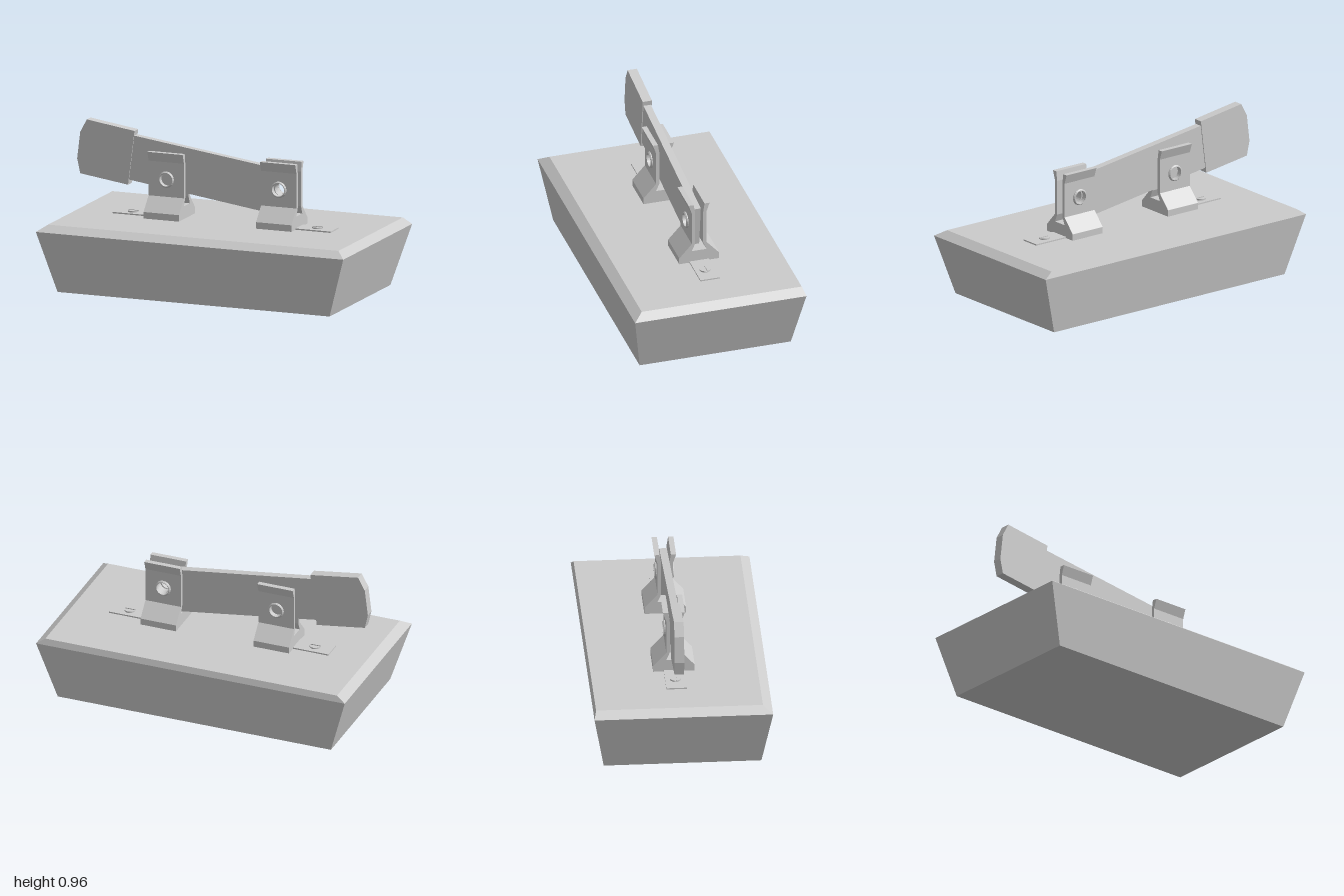
import * as THREE from 'three';

const MID = -0.023; // z of the blade and clip plane
const mat = new THREE.MeshStandardMaterial({ color: 0xcccccc, flatShading: true, side: THREE.DoubleSide });

function add(parent, name, geometry, x = 0, y = 0, z = 0) {
  const mesh = new THREE.Mesh(geometry, mat);
  mesh.name = name;
  mesh.position.set(x, y, z);
  parent.add(mesh);
  return mesh;
}

const shapeOf = (pts) => new THREE.Shape(pts.map(([x, y]) => new THREE.Vector2(x, y)));

function addHole(shape, x, y, r) {
  const hole = new THREE.Path();
  hole.absarc(x, y, r, 0, Math.PI * 2, true);
  shape.holes.push(hole);
  return shape;
}

// Flat plate in the xy plane, centred on its thickness
function plate(shape, depth) {
  return new THREE.ExtrudeGeometry(shape, { depth, bevelEnabled: false, curveSegments: 12 }).translate(0, 0, -depth / 2);
}

// Profile drawn in z and y, extended along x
const alongX = (pts, width) => plate(shapeOf(pts), width).rotateY(Math.PI / 2);

// Tapered block from rectangular sections [y, halfX, zBack, zFront]
function taperedBlock(sections) {
  const pos = [], index = [];
  for (const [y, w, b, f] of sections) pos.push(-w, y, f, w, y, f, w, y, b, -w, y, b);
  for (let s = 0; s < sections.length - 1; s++) {
    for (let i = 0; i < 4; i++) {
      const a = s * 4 + i, c = s * 4 + (i + 1) % 4;
      index.push(a, c, c + 4, a, c + 4, a + 4);
    }
  }
  const t = (sections.length - 1) * 4;
  index.push(0, 2, 1, 0, 3, 2, t, t + 1, t + 2, t, t + 2, t + 3);
  const g = new THREE.BufferGeometry();
  g.setAttribute('position', new THREE.Float32BufferAttribute(pos, 3));
  g.setIndex(index);
  const flat = g.toNonIndexed();
  flat.computeVertexNormals();
  return flat;
}

function createClip(name, x) {
  const clip = new THREE.Group();
  clip.name = name;
  clip.position.set(x, 0, MID);
  const width = 0.23;
  // Foot with a dovetail-shaped channel
  add(clip, 'clipFoot', alongX([
    [-0.125, 0.405], [0.125, 0.405], [0.125, 0.45], [0.046, 0.537], [0.025, 0.537], [0.046, 0.488],
    [-0.046, 0.488], [-0.025, 0.537], [-0.046, 0.537], [-0.125, 0.45],
  ], width));
  for (const s of [1, -1]) {
    // Upright jaw with a round hole
    const h = width / 2;
    const jaw = addHole(shapeOf([[-h, 0.537], [h, 0.537], [h, 0.75], [-h, 0.75]]), 0, 0.643, 0.04);
    add(clip, 'clipJaw', plate(jaw, 0.021), 0, 0, s * 0.0355);
    // Flared lip
    add(clip, 'clipLip', alongX([[s * 0.046, 0.75], [s * 0.066, 0.808], [s * 0.034, 0.808], [s * 0.025, 0.75]], width));
    // Raised collar around the hole
    const collar = new THREE.LatheGeometry(
      [[0.04, 0], [0.05, 0], [0.05, 0.005], [0.044, 0.012], [0.04, 0.012], [0.04, 0]]
        .map(([r, y]) => new THREE.Vector2(r, y)), 20);
    collar.rotateX(s * Math.PI / 2);
    add(clip, 'holeCollar', collar, 0, 0.643, s * 0.046);
  }
  return clip;
}

function createTerminal(side) {
  const terminal = new THREE.Group();
  terminal.name = side > 0 ? 'leftTerminal' : 'rightTerminal';
  terminal.position.set(side * 0.6, 0, MID);
  add(terminal, 'terminalStrip', new THREE.BoxGeometry(0.25, 0.012, 0.123), -side * 0.015, 0.412, 0);
  // Slotted screw head: a disc with two raised segments
  add(terminal, 'screwBase', new THREE.CylinderGeometry(0.033, 0.033, 0.004, 20), 0, 0.42, 0);
  for (const s of [0, Math.PI]) {
    const half = new THREE.Shape();
    half.absarc(0, 0, 0.033, 0.2, Math.PI - 0.2, false);
    const g = new THREE.ExtrudeGeometry(half, { depth: 0.006, bevelEnabled: false, curveSegments: 10 });
    add(terminal, 'screwHeadHalf', g.rotateX(-Math.PI / 2).rotateY(s), 0, 0.421, 0);
  }
  return terminal;
}

export function createModel() {
  const model = new THREE.Group();
  model.name = 'knifeSwitch';

  // Base block with a sloped rim
  add(model, 'base', taperedBlock([
    [0, 0.885, -0.475, 0.475], [0.372, 1, -0.538, 0.538], [0.41, 0.945, -0.525, 0.48],
  ]));

  for (const s of [1, -1]) {
    model.add(createClip(s > 0 ? 'hingeClip' : 'contactClip', s * 0.366));
    model.add(createTerminal(s));
  }

  // Swinging blade, pierced at the hinge
  const blade = shapeOf([[-0.62, 0.617], [0.405, 0.474], [0.44, 0.752], [-0.6, 0.892]]);
  add(model, 'blade', plate(addHole(blade, 0.372, 0.64, 0.04), 0.046), 0, 0, MID);

  // Handle grip
  add(model, 'handle', plate(shapeOf([
    [-0.89, 0.965], [-0.933, 0.885], [-0.953, 0.72], [-0.933, 0.63], [-0.622, 0.586], [-0.58, 0.92],
  ]), 0.058), 0, 0, MID);

  return model;
}
